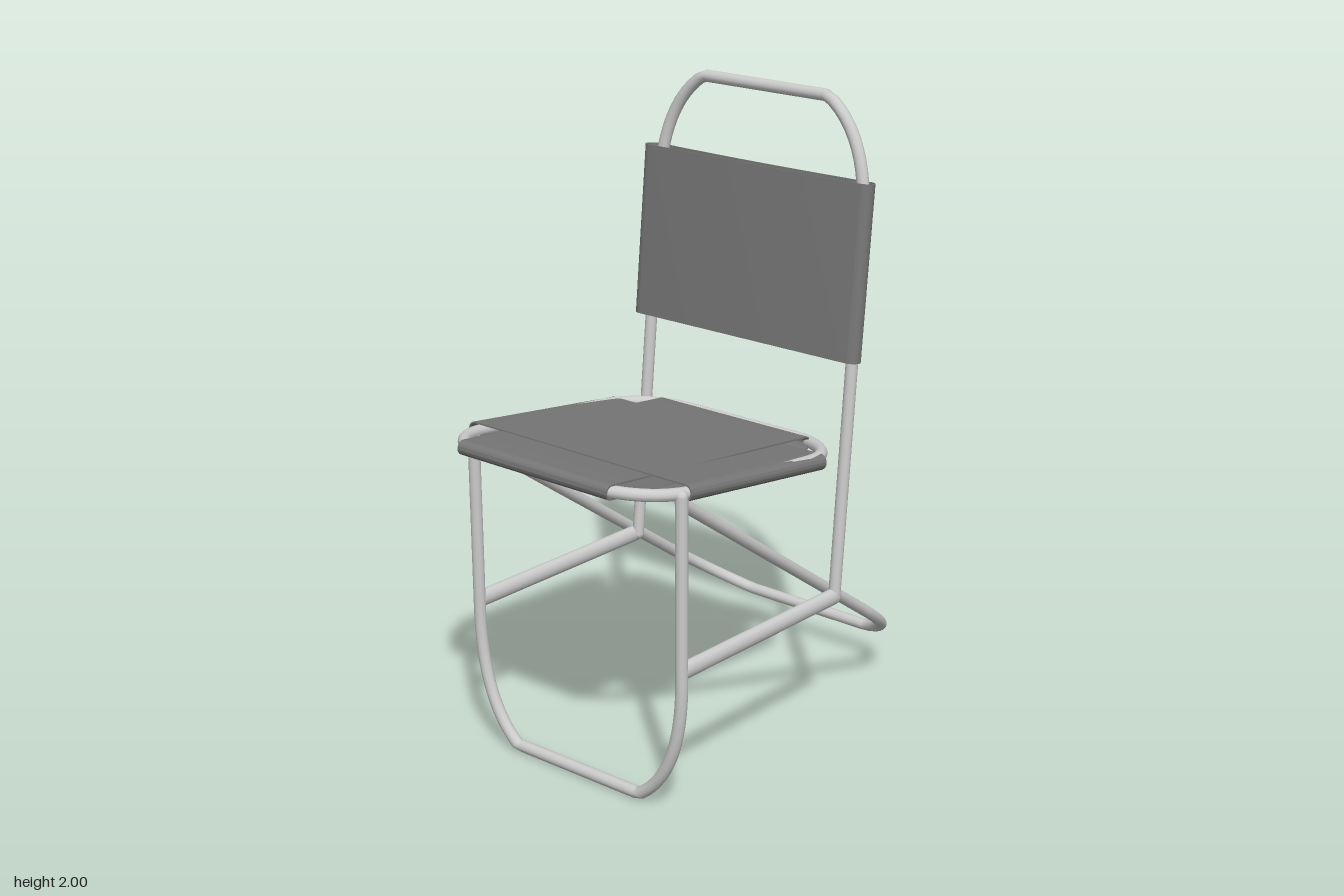
import * as THREE from 'three';
import { toCreasedNormals } from 'three/addons/utils/BufferGeometryUtils.js';

const V = (x, y, z) => new THREE.Vector3(x, y, z);
const R = 0.019; // tube radius

export function createModel() {
  const model = new THREE.Group();
  const metal = new THREE.MeshStandardMaterial({ color: 0xcccccc });
  const cloth = new THREE.MeshStandardMaterial({ color: 0x777777, side: THREE.DoubleSide });

  const add = (name, geometry, material, parent = model) => {
    const mesh = new THREE.Mesh(geometry, material);
    mesh.name = name;
    parent.add(mesh);
    return mesh;
  };

  // Bent tube: points alternate straight run (2 ends) and a corner control point
  function bentTube(name, pts, closed = false) {
    const group = new THREE.Group();
    group.name = name;
    const path = new THREE.CurvePath();
    const n = pts.length;
    for (let i = 0; i + 1 < n; i += 3) {
      path.add(new THREE.LineCurve3(pts[i], pts[i + 1]));
      if (i + 2 < n) path.add(new THREE.QuadraticBezierCurve3(pts[i + 1], pts[i + 2], pts[(i + 3) % n]));
    }
    add(name + 'Tube', new THREE.TubeGeometry(path, 110, R, 12, closed), metal, group);
    if (!closed) {
      for (const p of [pts[0], pts[n - 1]]) {
        add(name + 'End', new THREE.SphereGeometry(R, 12, 8), metal, group).position.copy(p);
      }
    }
    model.add(group);
  }

  // Cloth sleeve: hollow flat loop swept from a to b; bow pulls one sheet inward
  function sleeve(name, a, b, up, width, thick, bow = 0) {
    const half = width / 2 - thick / 2;
    const outline = (target, r) => {
      target.moveTo(-half, -r);
      target.lineTo(half, -r);
      target.absarc(half, 0, r, -Math.PI / 2, Math.PI / 2);
      target.quadraticCurveTo(0, r - 2 * bow, -half, r);
      target.absarc(-half, 0, r, Math.PI / 2, Math.PI * 1.5);
      return target;
    };
    const shape = outline(new THREE.Shape(), thick / 2);
    shape.holes.push(outline(new THREE.Path(), thick / 2 - 0.005));
    const geo = new THREE.ExtrudeGeometry(shape, { depth: a.distanceTo(b), bevelEnabled: false, curveSegments: 12 });
    const along = b.clone().sub(a).normalize();
    const side = up.clone().cross(along).normalize();
    const normal = along.clone().cross(side);
    geo.applyMatrix4(new THREE.Matrix4().makeBasis(side, normal, along).setPosition(a));
    add(name, toCreasedNormals(geo, 0.7), cloth);
  }

  // Front leg hoop
  const fx = -0.55;
  bentTube('frontLegHoop', [
    V(fx, 1.0, 0.445), V(fx, 0.43, 0.445), V(fx, 0.13, 0.445),
    V(fx, 0.02, 0.28), V(fx, 0.02, -0.22), V(fx, 0.13, -0.365),
    V(fx, 0.43, -0.37), V(fx, 1.0, -0.375),
  ]);

  // Slanted rear leg hoop, skewed slightly sideways
  bentTube('rearLegHoop', [
    V(-0.54, 0.975, 0.435), V(0.45, 0.3, 0.37), V(0.64, 0.17, 0.35),
    V(0.695, 0.12, 0.2), V(0.695, 0.12, -0.29), V(0.64, 0.17, -0.45),
    V(0.45, 0.3, -0.46), V(-0.54, 0.975, -0.375),
  ]);

  // Leaning back hoop
  const back = (y, z) => V(0.175 + (y - 0.47) * 0.0921, y, z);
  bentTube('backHoop', [
    back(0.465, 0.445), back(1.65, 0.44), back(1.89, 0.43),
    back(1.981, 0.28), back(1.981, -0.2), back(1.89, -0.345),
    back(1.65, -0.355), back(0.465, -0.36),
  ]);

  // Closed seat ring, tilted down towards the back
  const seat = (x, z) => V(x, 0.945 - 0.108 * x, z);
  bentTube('seatRing', [
    seat(-0.48, 0.44), seat(0.04, 0.44), seat(0.19, 0.43),
    seat(0.235, 0.27), seat(0.235, -0.23), seat(0.19, -0.38),
    seat(0.04, -0.385), seat(-0.48, -0.385), seat(-0.65, -0.38),
    seat(-0.69, -0.23), seat(-0.69, 0.27), seat(-0.65, 0.435),
  ], true);

  // Oval side stretchers joining front legs and back hoop
  for (const z of [0.443, -0.373]) {
    const geo = new THREE.CylinderGeometry(0.027, 0.027, 0.73, 16);
    geo.rotateZ(Math.PI / 2).scale(1, 1, 0.75);
    add('sideStretcher', geo, metal).position.set(-0.185, 0.463, z);
  }

  // Crossed seat slings and back sling
  sleeve('seatSlingWide', V(-0.53, 1.005, 0.025), V(0.095, 0.925, 0.025), V(0, 1, 0), 0.88, 0.05);
  sleeve('seatSlingLong', V(-0.25, 0.973, -0.275), V(-0.25, 0.973, 0.31), V(0.108, 1, 0), 0.935, 0.046);
  sleeve('backSling', V(0.235, 1.205, 0.033), V(0.287, 1.745, 0.033), V(1, 0, 0), 0.88, 0.06, 0.015);

  return model;
}
